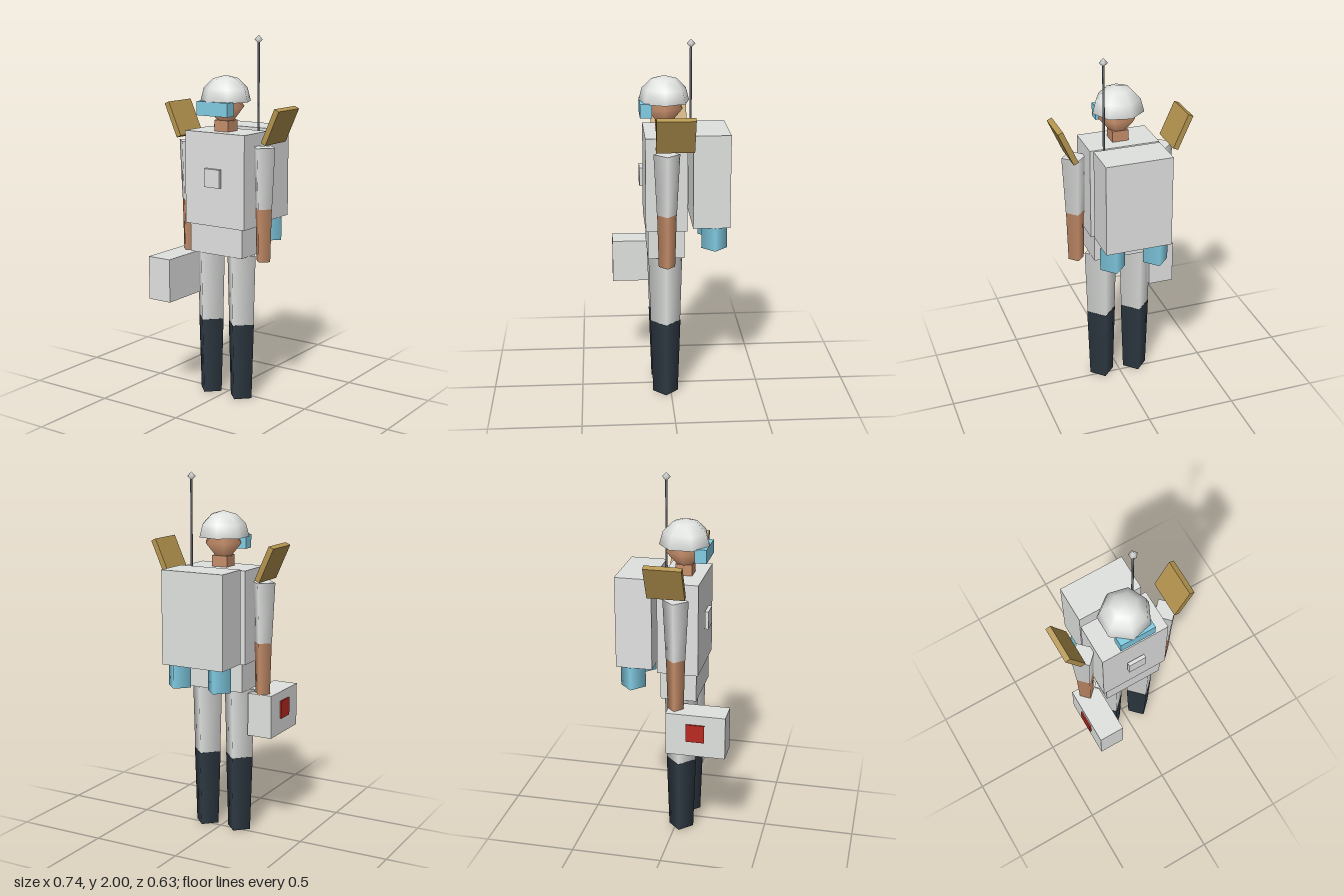
import * as THREE from 'three';

export function createModel() {
  const model = new THREE.Group();
  const mat = (name, color, extra = {}) => {
    const m = new THREE.MeshStandardMaterial({ color, ...extra });
    m.name = name;
    return m;
  };
  const white = mat('suitWhite', 0xe0e2e0, { side: THREE.DoubleSide });
  const skin = mat('skin', 0xc68e6a);
  const boot = mat('bootNavy', 0x2f3a44);
  const blue = mat('visorBlue', 0x82cde4);
  const gold = mat('panelGold', 0xb5954f);
  const steel = mat('antennaSteel', 0x74777f);
  const red = mat('badgeRed', 0xb82a20);

  const add = (name, geometry, material, x, y, z) => {
    const mesh = new THREE.Mesh(geometry, material);
    mesh.name = name;
    mesh.position.set(x, y, z);
    model.add(mesh);
    return mesh;
  };
  // box from its min and max corners
  const box = (name, material, [x0, y0, z0], [x1, y1, z1]) =>
    add(name, new THREE.BoxGeometry(x1 - x0, y1 - y0, z1 - z0), material,
      (x0 + x1) / 2, (y0 + y1) / 2, (z0 + z1) / 2);
  // tapered four-sided limb section
  const limb = (name, material, x, z, y0, y1, r0, r1) =>
    add(name, new THREE.CylinderGeometry(r1, r0, y1 - y0, 4), material, x, (y0 + y1) / 2, z);

  // body
  box('torso', white, [-0.193, 0.98, -0.083], [0.193, 1.49, 0.14]);
  box('pelvis', white, [-0.17, 0.82, -0.07], [0.17, 0.98, 0.127]);
  box('chestPlate', white, [-0.05, 1.197, 0.147], [0.05, 1.297, 0.167]);

  // head
  box('neck', skin, [-0.045, 1.47, -0.015], [0.045, 1.55, 0.075]);
  add('head', new THREE.SphereGeometry(0.11, 6, 2), skin, 0, 1.62, 0.03).scale.y = 1.18;
  add('helmet', new THREE.SphereGeometry(0.14, 7, 3, 0, Math.PI * 2, 0, Math.PI / 2),
    white, 0, 1.65, 0.03).rotation.y = Math.PI;
  box('goggles', blue, [-0.1, 1.58, 0.1], [0.1, 1.655, 0.163]);

  // paired limbs, shoulder panels and thrusters
  for (const [side, s] of [['left', 1], ['right', -1]]) {
    limb(side + 'Leg', white, s * 0.102, 0.03, 0.43, 0.82, 0.082, 0.093);
    limb(side + 'Boot', boot, s * 0.102, 0.03, 0, 0.43, 0.07, 0.084);
    limb(side + 'UpperArm', white, s * 0.245, 0.03, 1.09, 1.42, 0.053, 0.07);
    limb(side + 'Forearm', skin, s * 0.245, 0.03, 0.8, 1.09, 0.044, 0.052);
    limb(side + 'Thruster', blue, s * 0.122, -0.235, 0.86, 0.99, 0.07, 0.07);
    add(side + 'ShoulderPanel', new THREE.BoxGeometry(0.03, 0.2, 0.202), gold,
      s * 0.317, 1.535, -0.012).rotation.z = -s * 0.42;
  }

  // backpack and antenna
  box('backpack', white, [-0.183, 0.99, -0.315], [0.183, 1.5, -0.115]);
  add('antennaRod', new THREE.CylinderGeometry(0.006, 0.006, 0.52, 6), steel, 0.122, 1.71, -0.102);
  add('antennaTip', new THREE.SphereGeometry(0.024, 5, 2), white, 0.122, 1.976, -0.102).rotation.y = Math.PI;

  // carried case with badge
  box('case', white, [-0.317, 0.565, -0.01], [-0.175, 0.805, 0.315]);
  box('caseBadge', red, [-0.326, 0.652, 0.102], [-0.317, 0.752, 0.202]);

  return model;
}
